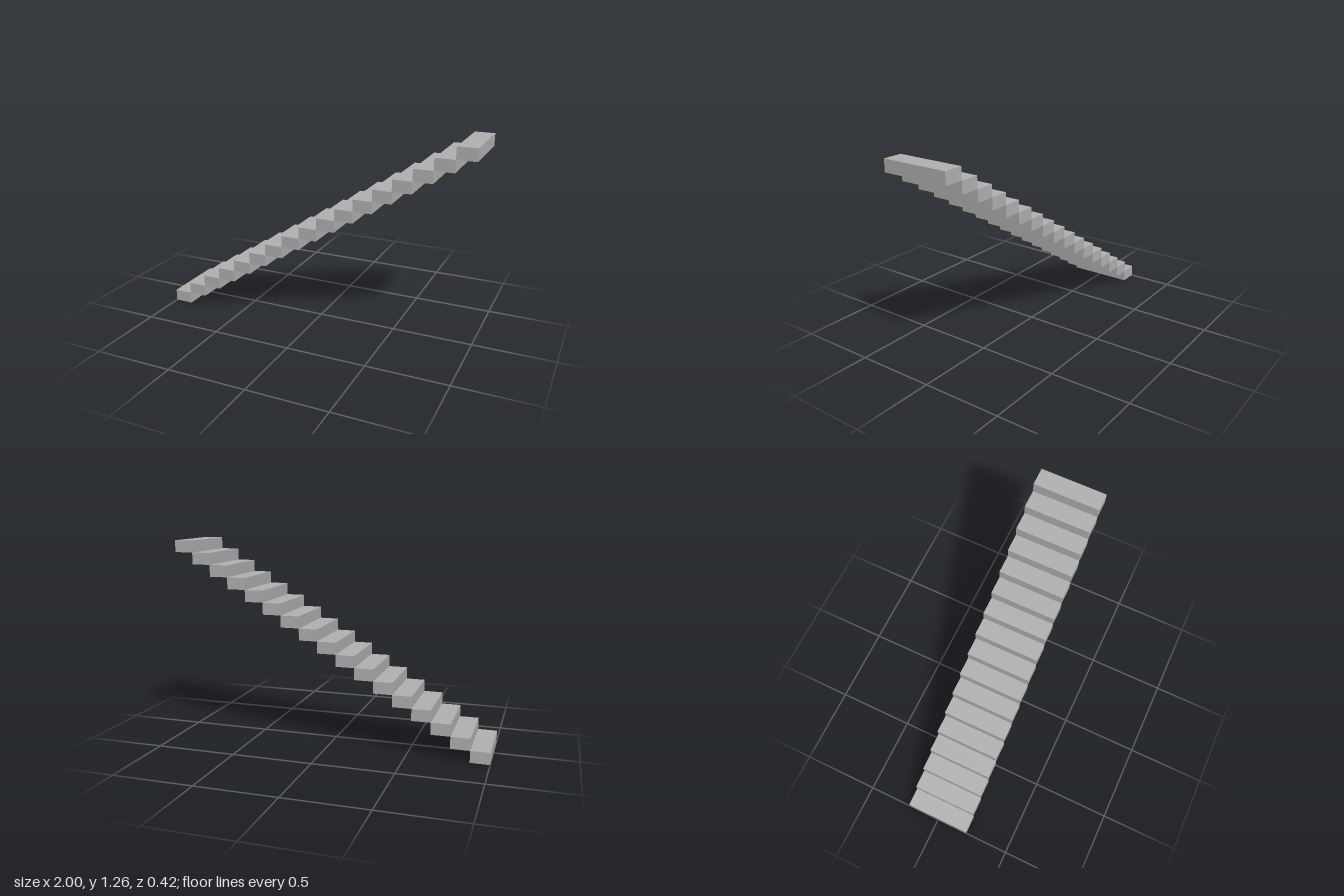
import * as THREE from 'three';

const STEPS = 17, LENGTH = 2, HEIGHT = 1.26, WIDTH = 0.42;

export function createModel() {
  const staircase = new THREE.Group();
  staircase.name = 'staircase';

  const stone = new THREE.MeshStandardMaterial({ color: 0xb2b2b2 });
  stone.name = 'plain grey';

  // Identical blocks climbing towards +x, each meeting the next along an edge
  const run = LENGTH / STEPS, rise = HEIGHT / STEPS;
  const block = new THREE.BoxGeometry(run, rise, WIDTH);
  for (let i = 0; i < STEPS; i++) {
    const step = new THREE.Mesh(block, stone);
    step.name = `step${i + 1}`;
    step.position.set(-LENGTH / 2 + (i + 0.5) * run, (i + 0.5) * rise, 0);
    staircase.add(step);
  }
  return staircase;
}
